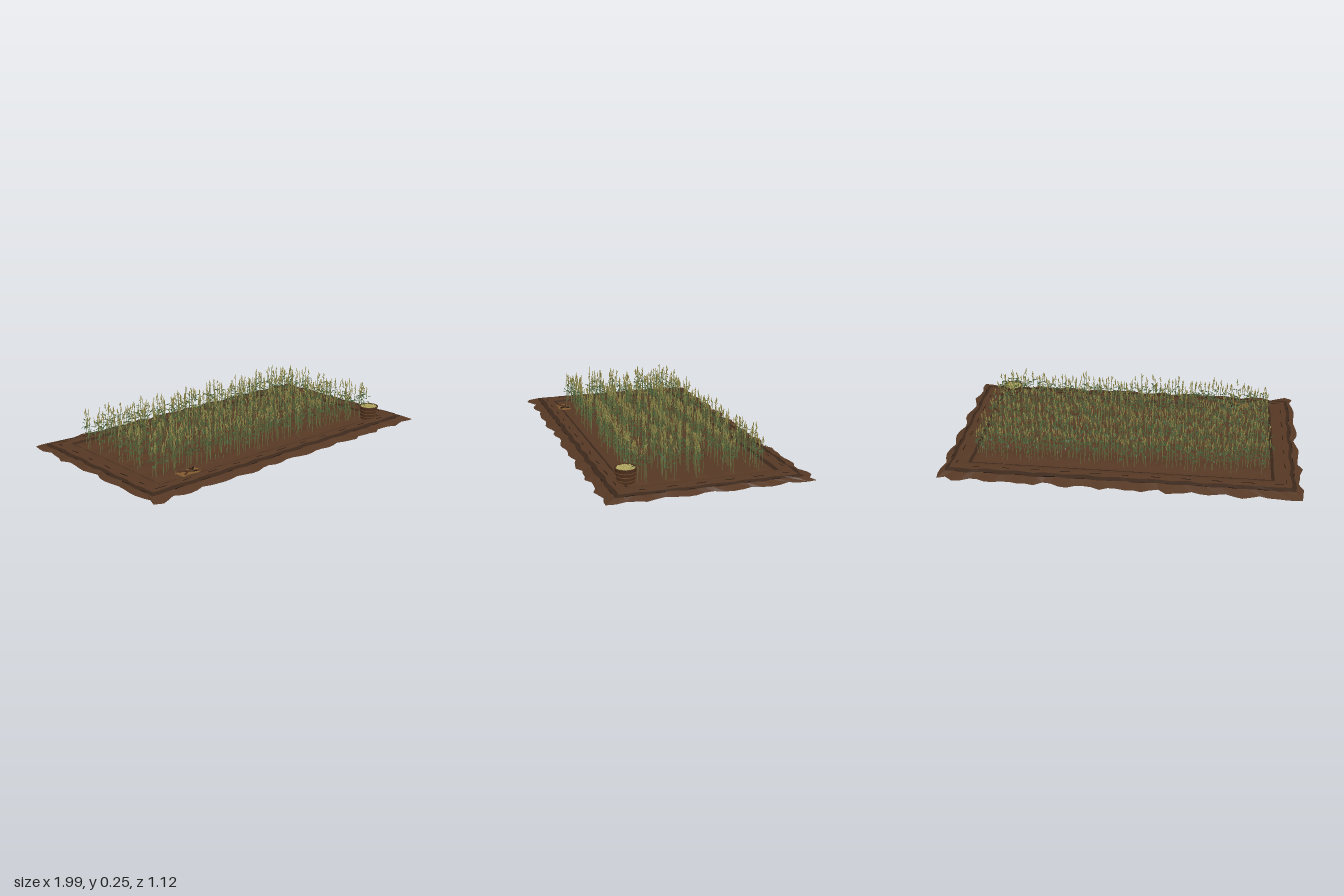
import * as THREE from 'three';
import { mergeGeometries } from 'three/addons/utils/BufferGeometryUtils.js';

const mat = (name, color, side = THREE.FrontSide) => {
  const m = new THREE.MeshStandardMaterial({ color, side });
  m.name = name;
  return m;
};

// small seeded generator
let seed = 7;
const rnd = (a = 0, b = 1) => {
  seed = (seed * 16807) % 2147483647;
  return a + (b - a) * (seed / 2147483647);
};

const flat = (g) => {
  const f = g.index ? g.toNonIndexed() : g;
  f.computeVertexNormals();
  return f;
};

const fromTriangles = (p) => {
  const g = new THREE.BufferGeometry();
  g.setAttribute('position', new THREE.Float32BufferAttribute(p, 3));
  g.computeVertexNormals();
  return g;
};

// copy of a geometry, turned, scaled and moved
const place = (g, pos, rot = [0, 0, 0], scale = [1, 1, 1]) => {
  const q = new THREE.Quaternion().setFromEuler(new THREE.Euler(rot[0], rot[1], rot[2], 'YXZ'));
  return g.clone().applyMatrix4(new THREE.Matrix4().compose(
    new THREE.Vector3(...pos), q, new THREE.Vector3(...scale)));
};

export function createModel() {
  const root = new THREE.Group();
  root.name = 'cropField';
  const D = THREE.DoubleSide;
  const M = {
    soil: mat('soil', 0x553824, D),
    darkSoil: mat('darkSoil', 0x3c281b, D),
    crack: mat('crack', 0x1f150f),
    stem: mat('stem', 0x66703f),
    leaf: mat('leaf', 0x3f5430, D),
    head: mat('seedHead', 0x948a48),
    wood: mat('basketWood', 0x50321f, D),
    band: mat('basketBand', 0x6d472a),
    grain: mat('grain', 0xb0a55c),
    cloth: mat('cloth', 0x80592f, D),
  };
  const add = (name, geo, m, parent = root) => {
    const mesh = new THREE.Mesh(geo, m);
    mesh.name = name;
    parent.add(mesh);
    return mesh;
  };

  // ploughed bed with five ridges, level at both ends
  const pitch = 0.155;
  const bedY = (x, z) => 0.014 + 0.005 * (1 + Math.cos((2 * Math.PI * z) / pitch))
    * THREE.MathUtils.clamp((0.82 - Math.abs(x)) / 0.03, 0, 1);
  const bed = new THREE.PlaneGeometry(1.64, 0.775, 54, 40).rotateX(-Math.PI / 2);
  const bp = bed.attributes.position;
  for (let i = 0; i < bp.count; i++) {
    const x = bp.getX(i), z = bp.getZ(i);
    const inside = Math.abs(x) < 0.81 && Math.abs(z) < 0.38;
    bp.setY(i, bedY(x, z) + (inside ? rnd(-0.0008, 0.0008) : 0));
  }
  add('ploughedBed', flat(bed), M.soil);

  // earth rim: rectangular rings that get rougher towards the outside
  const NX = 44, NZ = 22;
  const ring = (hx, hz, y, rough) => {
    const corners = [[-1, 1], [1, 1], [1, -1], [-1, -1]];
    const pts = [];
    corners.forEach(([ax, az], s) => {
      const [bx, bz] = corners[(s + 1) % 4];
      const n = s % 2 ? NZ : NX;
      for (let i = 0; i < n; i++) {
        const t = i / n;
        const j = i === 0 ? 0 : rough * (0.55 * Math.sin(i * 1.45 + s * 2) + rnd(-0.45, 0.45));
        const x = (ax + (bx - ax) * t) * hx, z = (az + (bz - az) * t) * hz;
        pts.push(s % 2 ? [x + ax * j, y, z] : [x, y, z + az * j]);
      }
    });
    return pts;
  };
  const rings = [
    ring(0.82, 0.3875, 0.014, 0),
    ring(0.835, 0.405, 0.022, 0.003),
    ring(0.87, 0.425, 0.026, 0.004),
    ring(0.925, 0.465, 0.023, 0.008),
    ring(0.945, 0.49, 0.016, 0.01),
    ring(0.978, 0.542, 0.0, 0.023),
  ];
  const rimMats = [M.darkSoil, M.soil, M.soil, M.darkSoil, M.soil];
  rimMats.forEach((m, k) => {
    const a = rings[k], b = rings[k + 1], p = [];
    a.forEach((_, i) => {
      const j = (i + 1) % a.length;
      p.push(...a[i], ...b[i], ...b[j], ...a[i], ...b[j], ...a[j]);
    });
    add('earthRim' + (k + 1), fromTriangles(p), m);
  });

  // thin cracks in the rim
  const cracks = [];
  const slit = new THREE.BoxGeometry(1, 0.002, 0.0035);
  for (const s of [-1, 1]) {
    for (let i = 0; i < 22; i++) {
      const len = rnd(0.03, 0.07);
      const row = i % 2;
      cracks.push(place(slit, [-0.86 + i * 0.082, row ? 0.0165 : 0.0245, s * (row ? 0.487 : 0.443)],
        [0, rnd(-0.12, 0.12), 0], [len, 1, 1]));
    }
    for (let i = 0; i < 12; i++) {
      const row = i % 2;
      cracks.push(place(slit, [s * (row ? 0.942 : 0.897), row ? 0.0175 : 0.0248, -0.41 + i * 0.075],
        [0, Math.PI / 2 + rnd(-0.12, 0.12), 0], [rnd(0.03, 0.06), 1, 1]));
    }
  }
  add('rimCracks', mergeGeometries(cracks), M.crack);

  // one stalk, leaf and seed spike, copied along the rows
  const stalk = flat(new THREE.CylinderGeometry(0.0009, 0.0014, 1, 3, 1, true).translate(0, 0.5, 0));
  const spike = flat(new THREE.OctahedronGeometry(1).translate(0, 1, 0));
  const o = [0, 0, 0], l = [-0.16, 0.14, 0.45], r = [0.16, 0.14, 0.45], c = [0, 0.1, 0.5], tip = [0, -0.12, 1];
  const blade = fromTriangles([...o, ...l, ...c, ...o, ...c, ...r, ...l, ...tip, ...c, ...c, ...tip, ...r].map((v) => v));

  for (let row = -2; row <= 2; row++) {
    const crop = new THREE.Group();
    crop.name = 'cropRow' + (row + 3);
    root.add(crop);
    const stems = [], leaves = [], heads = [];
    for (let i = 0; i < 125; i++) {
      const x = -0.81 + (1.62 * (i + rnd(0, 1))) / 125;
      const z = row * pitch + rnd(-0.045, 0.045);
      const base = bedY(x, z) - 0.002;
      const top = rnd(0.155, 0.215);
      stems.push(place(stalk, [x, base, z], [rnd(-0.04, 0.04), 0, rnd(-0.04, 0.04)], [1, top - base, 1]));
      // drooping leaves around the middle of the stalk
      const turn = rnd(0, 6.28);
      for (let k = 0; k < 5; k++) {
        const len = rnd(0.022, 0.04);
        leaves.push(place(blade, [x, rnd(0.075, 0.155), z],
          [rnd(-0.5, 0.35), turn + k * 2.4, 0], [len, len, len]));
      }
      // upright seed spikes
      heads.push(place(spike, [x, top - 0.02, z], [rnd(-0.1, 0.1), 0, rnd(-0.1, 0.1)],
        [0.0028, rnd(0.02, 0.026), 0.0028]));
      for (let k = 0; k < 3; k++) {
        heads.push(place(spike, [x, top - 0.035 + k * 0.014, z],
          [rnd(0.25, 0.5), turn + k * 2.1, 0], [0.0019, 0.011, 0.0019]));
      }
    }
    add('stems', mergeGeometries(stems), M.stem, crop);
    add('leaves', mergeGeometries(leaves), M.leaf, crop);
    add('seedHeads', mergeGeometries(heads), M.head, crop);
  }

  // harvest basket
  const basket = new THREE.Group();
  basket.name = 'basket';
  basket.position.set(0.755, 0.018, 0.38);
  root.add(basket);
  const wall = [[0, 0], [0.044, 0], [0.055, 0.075], [0.05, 0.075], [0.047, 0.06]];
  add('basketWall', flat(new THREE.LatheGeometry(wall.map((p) => new THREE.Vector2(...p)), 16)), M.wood, basket);
  for (const y of [0.014, 0.034, 0.054]) {
    const hoop = new THREE.TorusGeometry(0.0445 + y * 0.147, 0.0025, 5, 16).rotateX(Math.PI / 2);
    add('basketHoop', hoop, M.band, basket).position.y = y;
  }
  const rim = new THREE.TorusGeometry(0.0535, 0.0035, 6, 16).rotateX(Math.PI / 2);
  add('basketRim', rim, M.wood, basket).position.y = 0.074;
  const grains = [flat(new THREE.CylinderGeometry(0.049, 0.047, 0.004, 16).translate(0, 0.068, 0))];
  const kernel = flat(new THREE.IcosahedronGeometry(0.006, 0));
  for (let i = 0; i < 60; i++) {
    const d = 0.045 * Math.sqrt((i + 0.5) / 60), a = i * 2.4;
    grains.push(place(kernel, [d * Math.cos(a), 0.073, d * Math.sin(a)], [rnd(0, 3), rnd(0, 3), 0], [1, 0.7, 1]));
  }
  add('grainFill', mergeGeometries(grains), M.grain, basket);

  // cloth with hand tools lying on it
  const tools = new THREE.Group();
  tools.name = 'handTools';
  tools.position.set(-0.635, 0.029, 0.382);
  root.add(tools);
  const outline = [[-0.068, 0.03], [-0.02, 0.025], [0.02, 0.036], [0.062, 0.032], [0.068, -0.02],
    [0.03, -0.038], [-0.03, -0.032], [-0.066, -0.04]];
  const sheet = new THREE.ShapeGeometry(new THREE.Shape(outline.map((p) => new THREE.Vector2(...p))));
  add('cloth', sheet.rotateX(-Math.PI / 2), M.cloth, tools);
  for (const s of [-1, 1]) {
    const tool = new THREE.Group();
    tool.name = 'tool';
    tool.position.y = 0.005;
    tool.rotation.y = s * 0.5;
    tools.add(tool);
    const handle = new THREE.CylinderGeometry(0.004, 0.005, 0.09, 6).rotateZ(Math.PI / 2);
    add('toolHandle', handle, M.wood, tool).position.x = -0.01;
    const head = new THREE.ConeGeometry(0.014, 0.04, 4).rotateZ(-Math.PI / 2).scale(1, 0.35, 1);
    add('toolHead', flat(head), M.crack, tool).position.x = 0.045;
  }
  return root;
}
